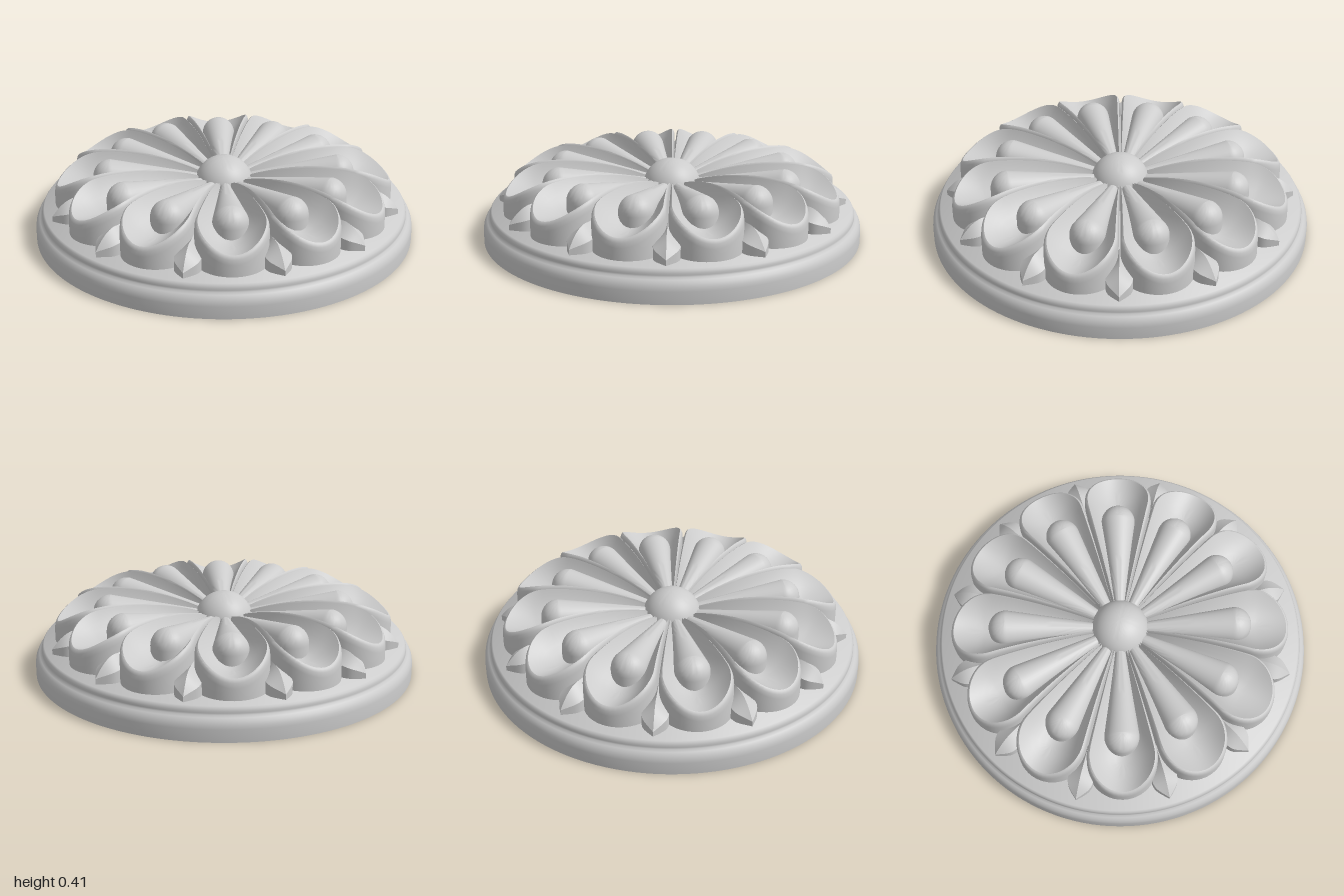
import * as THREE from 'three';
import { toCreasedNormals } from 'three/addons/utils/BufferGeometryUtils.js';

const COUNT = 12;
const TOP = 0.163; // height of the base plate
const material = new THREE.MeshStandardMaterial({ color: 0xcccccc, side: THREE.DoubleSide });
const lerp = THREE.MathUtils.lerp;

// Teardrop outline [x, z, spineZ]: narrow at r0, round around r1
function teardrop(r0, w0, r1, w1) {
  const pts = [];
  const alpha = Math.asin((w1 - w0) / (r1 - r0));
  const end = Math.PI / 2 + alpha;
  const sx = w1 * Math.sin(end), sz = r1 + w1 * Math.cos(end);
  const side = (s, k) => {
    const z = lerp(r0, sz, k);
    return [s * lerp(w0, sx, k), z, z];
  };
  for (let i = 0; i < 14; i++) pts.push(side(-1, i / 14));
  for (let i = 0; i <= 28; i++) {
    const a = lerp(-end, end, i / 28);
    const z = r1 + w1 * Math.cos(a);
    pts.push([w1 * Math.sin(a), z, Math.min(z, r1)]);
  }
  for (let i = 13; i >= 0; i--) pts.push(side(1, i / 14));
  return pts;
}

// Skin rings of an outline, each shrunk toward its spine by scale t
function loft(outline, rings, crease) {
  const pos = [], index = [], n = outline.length;
  for (const { t, y } of rings) {
    for (const [x, z, s] of outline) pos.push(x * t, y(z, s), lerp(s, z, t));
  }
  for (let j = 0; j < rings.length - 1; j++) {
    for (let i = 0; i < n - 1; i++) {
      const a = j * n + i, b = a + 1, c = b + n, d = a + n;
      index.push(a, b, c, a, c, d);
    }
  }
  const g = new THREE.BufferGeometry();
  g.setAttribute('position', new THREE.Float32BufferAttribute(pos, 3));
  g.setIndex(index);
  return toCreasedNormals(g, crease);
}

// Scooped petal with a rounded rim and upright walls reaching below the plate
function petalGeometry() {
  const rim = (r) => r < 0.55
    ? 0.39 - 0.09 * ((0.55 - r) / 0.45) ** 2
    : 0.39 - 0.12 * ((r - 0.55) / 0.345) ** 2.5;
  const floor = (r) => 0.265 - 0.2 * (r - 0.45) ** 2;
  const rings = [
    { t: 1, y: () => 0.1 },
    { t: 1, y: (z) => rim(z) - 0.045 },
    { t: 0.985, y: (z) => rim(z) - 0.02 },
    { t: 0.95, y: (z) => rim(z) - 0.005 },
    { t: 0.91, y: (z) => rim(z) },
  ];
  for (const k of [0.97, 0.88, 0.75, 0.6, 0.4, 0.2, 0]) {
    rings.push({ t: 0.91 * k, y: (z, s) => lerp(floor(s), rim(z), k * k) });
  }
  return loft(teardrop(0.1, 0.024, 0.715, 0.18), rings, 0.65);
}

// Rounded teardrop bead lying in the petal
function beadGeometry() {
  const r0 = 0.12, w0 = 0.025, r1 = 0.6, w1 = 0.09;
  const base = (s) => lerp(0.285, 0.307, (s - r0) / (r1 - r0));
  const half = (s) => lerp(w0, w1, (s - r0) / (r1 - r0));
  const rings = [{ t: 1, y: () => 0.15 }];
  for (let i = 0; i <= 9; i++) {
    const a = (i / 9) * Math.PI / 2;
    rings.push({ t: Math.cos(a), y: (z, s) => base(s) + half(s) * Math.sin(a) });
  }
  return loft(teardrop(r0, w0, r1, w1), rings, 0.9);
}

// Pointed leaf with a centre ridge
function leafGeometry() {
  const curve = new THREE.SplineCurve([
    [0.02, 0.66], [0.035, 0.72], [0.057, 0.77], [0.066, 0.815], [0.054, 0.868], [0, 0.925],
  ].map(([x, z]) => new THREE.Vector2(x, z)));
  const half = curve.getPoints(24).map((p) => [p.x, p.y, p.y]);
  const outline = [
    ...half.map(([x, z, s]) => [-x, z, s]),
    ...half.slice(0, -1).reverse(),
  ];
  const out = (z) => Math.max(0, (z - 0.79) / 0.135);
  const edge = (z) => 0.228 - 0.038 * out(z) ** 2;
  const ridge = (z) => 0.283 - 0.093 * out(z) ** 2;
  return loft(outline, [
    { t: 1, y: () => 0.08 },
    { t: 1, y: edge },
    { t: 0.5, y: (z) => lerp(edge(z), ridge(z), 0.46) },
    { t: 0, y: ridge },
  ], 0.45);
}

function lathe(points, segments, crease) {
  const g = new THREE.LatheGeometry(points.map(([x, y]) => new THREE.Vector2(x, y)), segments);
  return toCreasedNormals(g, crease);
}

export function createModel() {
  const model = new THREE.Group();
  model.name = 'rosette';
  const add = (name, geometry, angle = 0) => {
    const mesh = new THREE.Mesh(geometry, material);
    mesh.name = name;
    mesh.rotation.y = angle;
    model.add(mesh);
  };

  // Moulded edge and flat plate, hollow below
  add('basePlate', lathe([
    [1, 0], [1, 0.065], [0.997, 0.084], [0.989, 0.102], [0.978, 0.115], [0.966, 0.124],
    [0.965, 0.133], [0.965, 0.142], [0.961, 0.153], [0.953, TOP], [0, TOP],
  ], 128, 0.9));

  // Central dome
  const dome = [[0.155, 0.09]];
  for (let i = 0; i <= 14; i++) {
    const a = (i / 14) * Math.PI / 2;
    dome.push([0.155 * Math.cos(a), 0.252 + 0.155 * Math.sin(a)]);
  }
  add('centreDome', lathe(dome, 64, 0.7));

  // Petals with beads, leaves in the gaps
  const petal = petalGeometry(), bead = beadGeometry(), leaf = leafGeometry();
  for (let i = 0; i < COUNT; i++) {
    const angle = (i / COUNT) * Math.PI * 2;
    add('petal', petal, angle + Math.PI / COUNT);
    add('petalBead', bead, angle + Math.PI / COUNT);
    add('leaf', leaf, angle);
  }
  return model;
}
